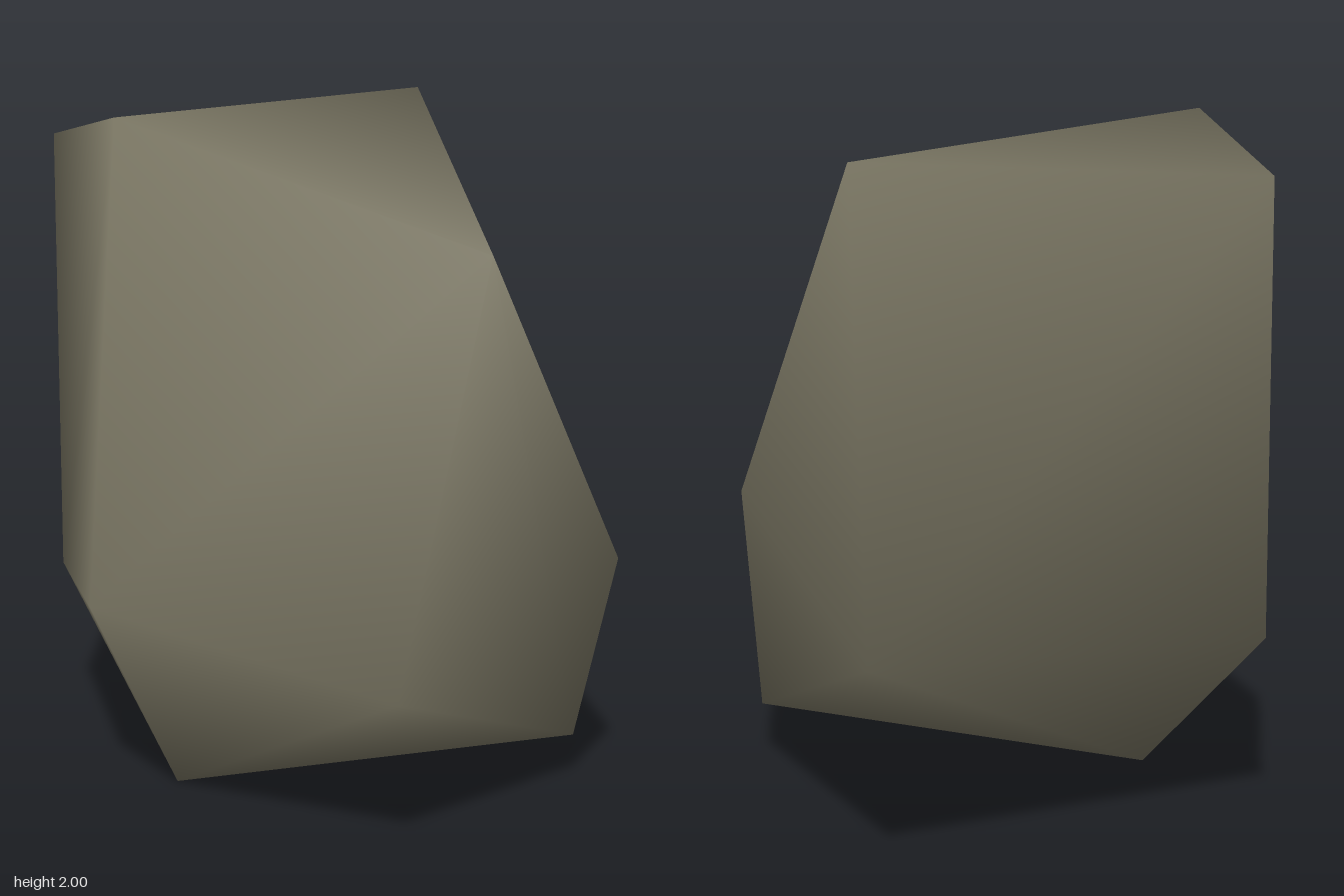
import * as THREE from 'three';

// Corner points of the boulder, named by where they sit
const corners = {
  topFront: [-0.25, 2.0, 0.6],
  topLeft: [0.73, 1.7, 0.0],
  topBack: [-0.62, 1.9, -0.76],
  topRight: [-0.88, 1.84, 0.43],
  lowFront: [-0.06, 0.63, 0.83],
  lowFrontLeft: [0.87, 0.53, 0.42],
  lowBackLeft: [0.82, 0.78, -0.4],
  lowBackRight: [-0.85, 0.58, -0.83],
  lowFrontRight: [-0.77, 0.51, 0.5],
  baseFront: [-0.11, 0.0, 0.51],
  baseBack: [0.58, 0.15, -0.45],
};

// Fans of neighbouring corners, counter-clockwise seen from outside
const fans = [
  // crown
  ['topFront', 'topLeft', 'topBack', 'topRight', 'lowFrontRight', 'lowFront', 'topLeft'],
  // right side
  ['topRight', 'topBack', 'lowBackRight', 'lowFrontRight'],
  // left side, with a shallow valley down to the base
  ['topLeft', 'lowFront', 'lowFrontLeft', 'baseBack', 'lowBackLeft', 'topBack'],
  // back
  ['lowBackRight', 'topBack', 'lowBackLeft', 'baseBack', 'baseFront', 'lowFrontRight'],
  // underside
  ['baseFront', 'baseBack', 'lowFrontLeft', 'lowFront', 'lowFrontRight'],
];

function boulderGeometry() {
  const names = Object.keys(corners);
  const index = [];
  for (const [hub, ...rim] of fans) {
    for (let i = 0; i < rim.length - 1; i++) {
      index.push(...[hub, rim[i], rim[i + 1]].map((n) => names.indexOf(n)));
    }
  }
  const geometry = new THREE.BufferGeometry();
  geometry.setAttribute('position', new THREE.Float32BufferAttribute(Object.values(corners).flat(), 3));
  geometry.setIndex(index);
  geometry.computeVertexNormals(); // shared corners give smooth shading
  return geometry;
}

export function createModel() {
  const group = new THREE.Group();
  group.name = 'rock';
  const stone = new THREE.MeshStandardMaterial({ color: 0x7a7663 });
  stone.name = 'stone';
  const boulder = new THREE.Mesh(boulderGeometry(), stone);
  boulder.name = 'boulder';
  group.add(boulder);
  return group;
}
